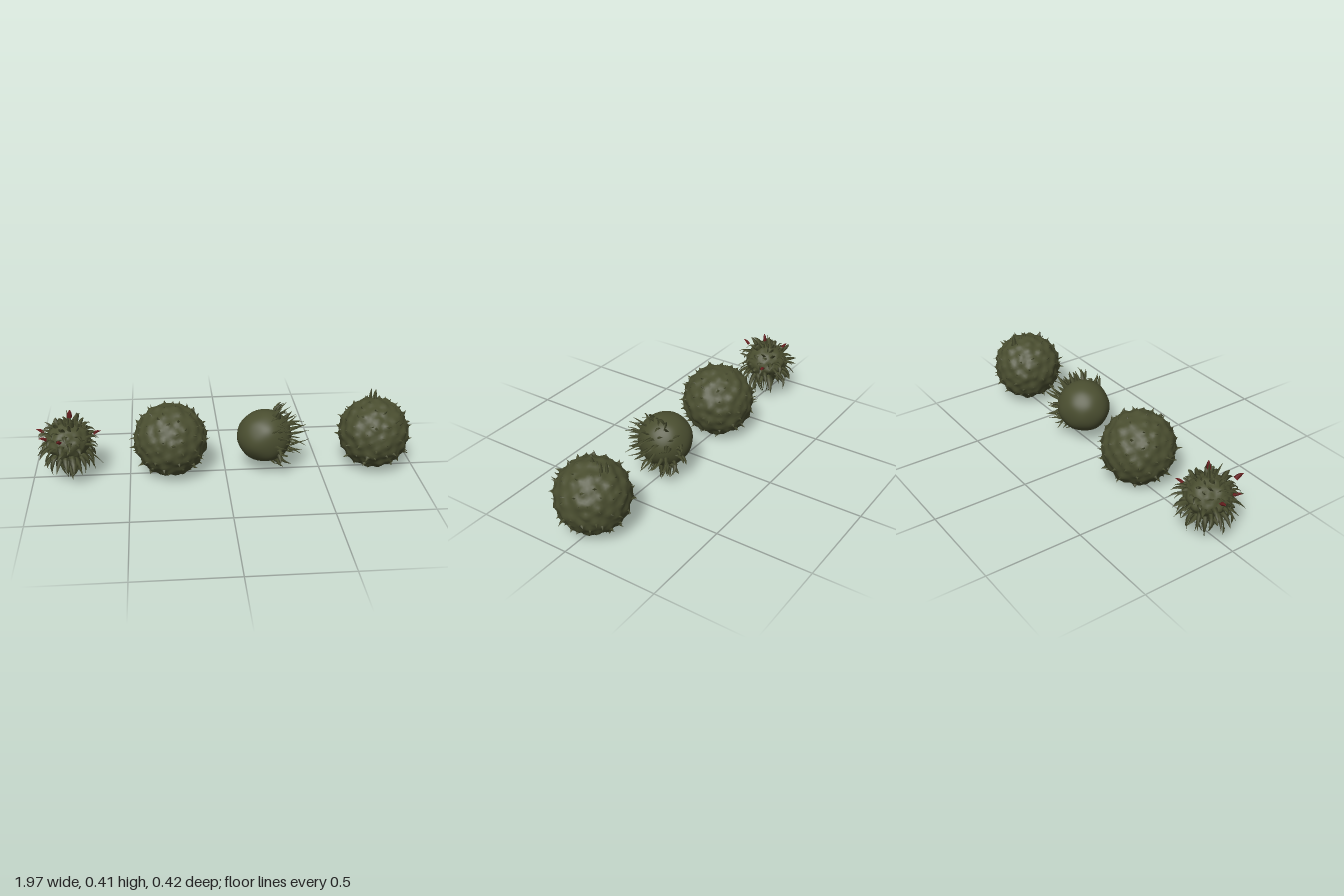
import * as THREE from 'three';
import { mergeVertices } from 'three/addons/utils/BufferGeometryUtils.js';

const olive = new THREE.MeshStandardMaterial({ color: 0x4a4e30 });
olive.name = 'olive green';
const red = new THREE.MeshStandardMaterial({ color: 0x6a2020 });
red.name = 'dark red';

const V = (x, y, z) => new THREE.Vector3(x, y, z);

// Seeded random numbers
let seed = 7;
const rand = (a = 0, b = 1) => {
  seed = (seed * 16807) % 2147483647;
  return a + (b - a) * (seed / 2147483647);
};

// Evenly spread, slightly jittered directions
function directions(n, jitter) {
  return Array.from({ length: n }, (_, i) => {
    const y = 1 - (2 * (i + 0.5)) / n, r = Math.sqrt(1 - y * y), a = i * 2.39996;
    return V(r * Math.cos(a) + rand(-jitter, jitter), y + rand(-jitter, jitter), r * Math.sin(a) + rand(-jitter, jitter)).normalize();
  });
}

// Tapered blades along curves, gathered into one mesh.
// Each blade: { path: [start, middle, end], w, t, taper }
function bladeMesh(name, blades, material = olive, steps = 5) {
  const pos = [], idx = [];
  for (const { path, w, t, taper = 1, belly = 0 } of blades) {
    const curve = new THREE.QuadraticBezierCurve3(...path);
    const start = pos.length / 3;
    const ref = V(rand(-0.3, 0.3), 1, rand(-0.3, 0.3));
    if (Math.abs(curve.getTangent(0).y) > 0.9) ref.set(rand(-1, 1), 0, 1);
    for (let i = 0; i <= steps; i++) {
      const u = i / steps, p = curve.getPoint(u), T = curve.getTangent(u);
      const S = V().crossVectors(T, ref).normalize(), N = V().crossVectors(T, S);
      const k = Math.pow(1 - u, taper) + belly * Math.sin(Math.PI * u);
      for (const [a, b] of [[1, 0], [0, 1], [-1, 0], [0, -1]]) {
        pos.push(...p.clone().addScaledVector(S, a * w * k).addScaledVector(N, b * t * k).toArray());
      }
      if (i === steps) continue;
      for (let j = 0; j < 4; j++) {
        const a = start + i * 4 + j, b = start + i * 4 + ((j + 1) % 4);
        idx.push(a, b, a + 4, b, b + 4, a + 4);
      }
    }
  }
  const g = new THREE.BufferGeometry();
  g.setAttribute('position', new THREE.Float32BufferAttribute(pos, 3));
  g.setIndex(idx);
  g.computeVertexNormals();
  const mesh = new THREE.Mesh(g, material);
  mesh.name = name;
  return mesh;
}

// Smooth rounded body whose surface is moved by a rule
function bodyMesh(name, rule, detail = 14) {
  let g = new THREE.IcosahedronGeometry(1, detail);
  g.deleteAttribute('normal');
  g.deleteAttribute('uv');
  g = mergeVertices(g, 1e-4);
  const p = g.attributes.position, v = V();
  for (let i = 0; i < p.count; i++) {
    v.fromBufferAttribute(p, i).normalize();
    const q = rule(v.clone());
    p.setXYZ(i, q.x, q.y, q.z);
  }
  g.computeVertexNormals();
  const mesh = new THREE.Mesh(g, olive);
  mesh.name = name;
  return mesh;
}

const lumps = (d, f) => Math.sin(d.x * f + 1) * Math.sin(d.y * f + 2) * Math.sin(d.z * f + 0.5);

// Round ball covered with short, wide-based thorns
function thornBall(name, x, r, reach, count) {
  const group = new THREE.Group();
  group.name = name;
  group.position.set(x, 0.195, 0);
  const dirs = directions(count, 0.09);
  const radius = d => r * (1 + 0.03 * lumps(d, 7));
  group.add(bodyMesh('ballBody', d => {
    let near = -1;
    for (const s of dirs) near = Math.max(near, s.dot(d));
    const swell = 0.012 * Math.exp((near - 1) * 120);
    const q = d.clone().multiplyScalar(radius(d) + swell);
    q.y = Math.max(q.y, -0.185);
    return q;
  }));
  const thorns = dirs.filter(d => d.y > -0.85).map(d => {
    const side = V(rand(-1, 1), rand(-0.5, 1), rand(-1, 1)).multiplyScalar(0.012);
    const h = (reach - r) * rand(0.55, 1) * (1 - 0.45 * Math.abs(d.y) ** 3);
    const base = d.clone().multiplyScalar(radius(d) - 0.006);
    return {
      path: [base, d.clone().multiplyScalar(r + h * 0.5), d.clone().multiplyScalar(r + h).add(side)],
      w: rand(0.016, 0.026), t: rand(0.007, 0.014), taper: 1.3,
    };
  });
  group.add(bladeMesh('thorns', thorns));
  return group;
}

// Small leafy head with drooping leaves, hanging stalks and red buds
function leafyHead() {
  const group = new THREE.Group();
  group.name = 'leafyHead';
  group.position.set(-0.81, 0.2, 0);
  group.add(bodyMesh('headCore', d => {
    const k = 0.115 * (1 + 0.08 * lumps(d, 9));
    const narrow = d.y < 0 ? 1 + 0.3 * d.y : 1;
    return V(d.x * k * narrow, d.y * k * (d.y < 0 ? 1.05 : 0.9), d.z * k * narrow);
  }, 8));

  const leaves = directions(105, 0.1).filter(d => d.y > -0.75).map(d => {
    const len = rand(0.045, 0.085) * (1 - 0.3 * Math.max(0, d.y));
    const base = d.clone().multiplyScalar(0.095);
    const mid = d.clone().multiplyScalar(0.105 + len * 0.6).add(V(0, 0.015, 0));
    const tip = d.clone().multiplyScalar(0.1 + len).add(V(rand(-0.02, 0.02), rand(-0.045, 0.01), rand(-0.02, 0.02)));
    return { path: [base, mid, tip], w: rand(0.011, 0.018), t: 0.004, belly: 0.35 };
  });
  leaves.push({ path: [V(0, 0.08, 0), V(0.01, 0.13, 0), V(0, 0.19, 0)], w: 0.012, t: 0.006 });
  group.add(bladeMesh('leaves', leaves));

  const stalks = [];
  for (let i = 0; i < 8; i++) {
    const a = (i / 8) * Math.PI * 2, c = Math.cos(a), s = Math.sin(a);
    stalks.push({ path: [V(c * 0.05, -0.09, s * 0.05), V(c * 0.05, -0.15, s * 0.05), V(c * 0.015, -0.197, s * 0.015)], w: 0.009, t: 0.005, taper: 0.7 });
    stalks.push({ path: [V(c * 0.09, -0.05, s * 0.09), V(c * 0.135, -0.09, s * 0.135), V(c * 0.115, -0.15, s * 0.115)], w: 0.011, t: 0.004, belly: 0.3 });
  }
  group.add(bladeMesh('hangingStalks', stalks));

  const buds = [[0.165, 0.03, -0.06], [-0.165, 0.06, -0.04], [-0.14, 0.06, 0.08], [-0.04, 0.08, 0.18], [0.02, 0.185, 0.01]].map(([x, y, z]) => {
    const tip = V(x, y, z), base = tip.clone().multiplyScalar(0.76);
    return { path: [base, base.clone().lerp(tip, 0.5).add(V(0, 0.008, 0)), tip], w: 0.013, t: 0.009, belly: 0.3 };
  });
  group.add(bladeMesh('redBuds', buds, red));
  return group;
}

// Smooth bulb with a crown of long blades on one side
function crownedBulb() {
  const group = new THREE.Group();
  group.name = 'crownedBulb';
  group.position.set(0.21, 0.2, 0);
  group.add(bodyMesh('bulb', d => {
    const k = 0.137 * (1 + 0.02 * lumps(d, 5));
    return V(d.x * k * (d.x < 0 ? 1.08 : 1), d.y * k, d.z * k);
  }));
  const blades = directions(125, 0.1).filter(d => d.x > 0.18).map(d => {
    const len = rand(0.05, 0.1);
    const base = d.clone().multiplyScalar(0.125);
    const mid = d.clone().multiplyScalar(0.13 + len * 0.45);
    const tip = d.clone().multiplyScalar(0.13 + len * 0.6).add(V(len * 0.5, rand(-0.03, 0.03), rand(-0.025, 0.025)));
    return { path: [base, mid, tip], w: rand(0.01, 0.017), t: 0.006, belly: 0.15 };
  });
  // Outer splayed blades
  for (let i = 0; i < 14; i++) {
    const a = (i / 14) * Math.PI * 2 + rand(-0.15, 0.15), c = Math.cos(a), s = Math.sin(a), r = rand(0.165, 0.19);
    blades.push({ path: [V(0.06, c * 0.11, s * 0.11), V(0.06, c * 0.16, s * 0.16), V(rand(0.05, 0.12), c * r, s * r)], w: 0.015, t: 0.006, belly: 0.1 });
  }
  group.add(bladeMesh('crownBlades', blades));
  return group;
}

export function createModel() {
  const model = new THREE.Group();
  model.name = 'spikyPlants';
  const last = thornBall('tuftedBall', 0.785, 0.177, 0.21, 130);
  // Tuft on top of the last ball
  last.add(bladeMesh('topTuft', [[0, -0.01], [0.012, -0.07], [-0.008, -0.085]].map(([x, z]) => ({
    path: [V(x, 0.15, z), V(x, 0.185, z), V(x + 0.005, 0.215, z * 1.05)], w: 0.018, t: 0.01, taper: 0.7,
  }))));
  model.add(leafyHead(), thornBall('thornBall', -0.285, 0.182, 0.218, 130), crownedBulb(), last);
  return model;
}
